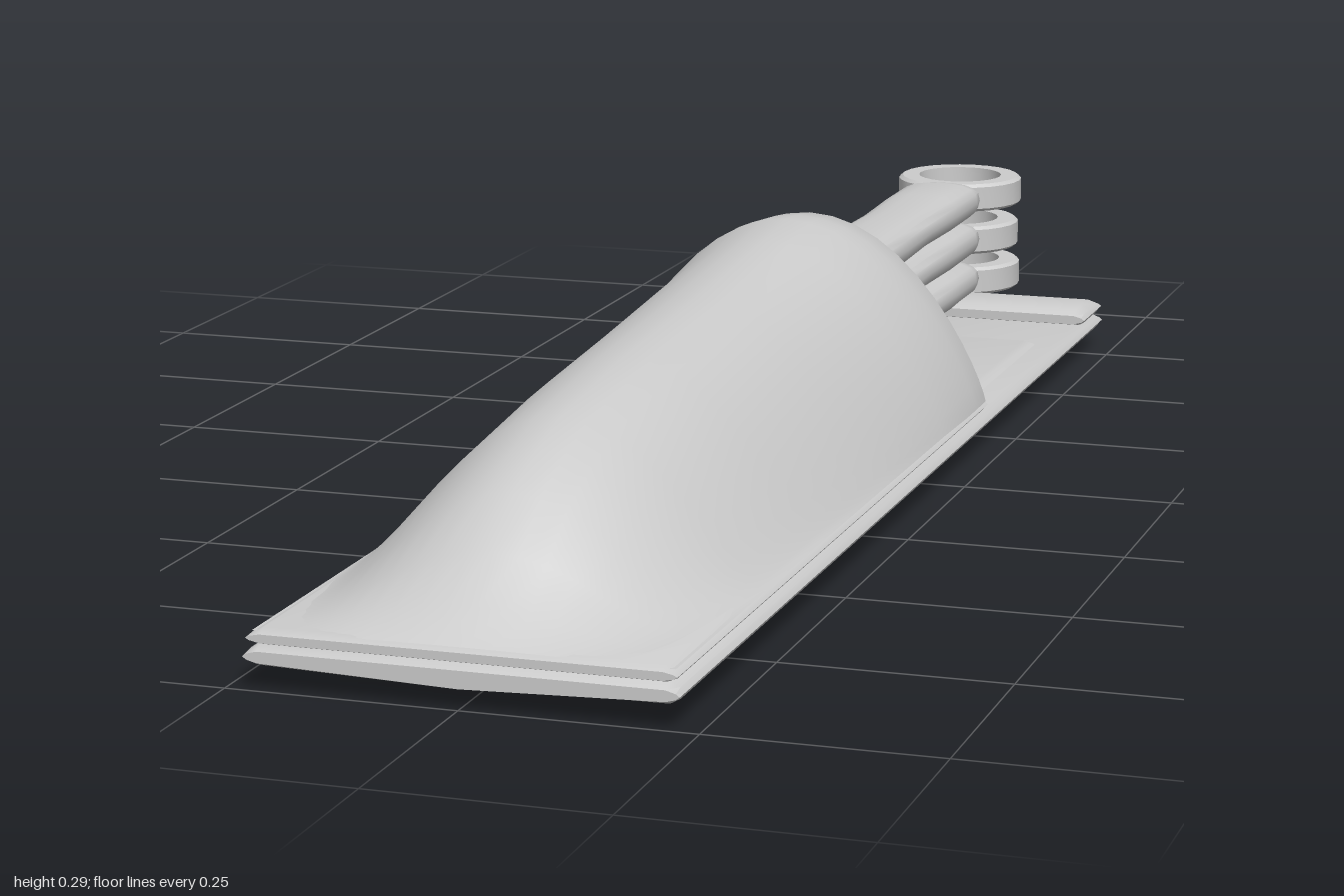
import * as THREE from 'three';
import { toCreasedNormals } from 'three/addons/utils/BufferGeometryUtils.js';

const grey = new THREE.MeshStandardMaterial({ color: 0xcccccc });
const greyDouble = new THREE.MeshStandardMaterial({ color: 0xcccccc, side: THREE.DoubleSide });

// Skins rows of [x, y, z]; closed rows run counterclockwise seen from +z, rows go from front to back.
function loft(rows, closed, crease = 0.7) {
  const n = rows[0].length, pos = rows.flat(2), idx = [];
  for (let r = 0; r < rows.length - 1; r++) {
    for (let i = 0; i < (closed ? n : n - 1); i++) {
      const a = r * n + i, b = r * n + (i + 1) % n, c = a + n, d = b + n;
      idx.push(a, c, b, b, c, d);
    }
  }
  if (closed) {
    const last = (rows.length - 1) * n;
    for (let i = 1; i < n - 1; i++) idx.push(0, i, i + 1, last, last + i + 1, last + i);
  }
  const g = new THREE.BufferGeometry();
  g.setAttribute('position', new THREE.Float32BufferAttribute(pos, 3));
  g.setIndex(idx);
  return toCreasedNormals(g, crease);
}

function add(group, name, geometry, material = grey) {
  const mesh = new THREE.Mesh(geometry, material);
  mesh.name = name;
  group.add(mesh);
  return mesh;
}

// Flat cloth layer with soft side edges; keel(z) is the height of its underside centre line.
function clothLayer(zs, halfWidth, y0, y1, keel) {
  const ym = (y0 + y1) / 2, w = halfWidth;
  return loft(zs.map((z, k) => {
    const end = k === 0 || k === zs.length - 1;
    const a = end ? ym - (ym - y0) * 0.5 : y0, b = end ? ym + (y1 - ym) * 0.5 : y1;
    return [[0, keel ? keel(z) : a], [w - 0.015, a], [w - 0.004, (a + ym) / 2], [w, ym], [w - 0.004, (b + ym) / 2],
      [w - 0.015, b], [0, b], [-w + 0.015, b], [-w + 0.004, (b + ym) / 2], [-w, ym], [-w + 0.004, (a + ym) / 2],
      [-w + 0.015, a]].map(([x, y]) => [x, y, z]);
  }), true);
}

// Pouch shell: each station is [z, crown height, profile power, half width, foot height].
function pouch() {
  const stations = [
    [0.99, 0.066, 2, 0.223, 0.064], [0.95, 0.095, 2.1, 0.223, 0.064], [0.9, 0.14, 2.1, 0.223, 0.064],
    [0.84, 0.186, 1.9, 0.223, 0.064], [0.77, 0.213, 1.6, 0.223, 0.064], [0.7, 0.233, 1.4, 0.223, 0.064],
    [0.5, 0.254, 1.2, 0.223, 0.064], [0.25, 0.269, 1.05, 0.224, 0.064], [0, 0.286, 0.92, 0.225, 0.064],
    [-0.09, 0.297, 0.84, 0.227, 0.064], [-0.14, 0.293, 0.83, 0.227, 0.064], [-0.19, 0.287, 0.83, 0.226, 0.064],
    [-0.205, 0.278, 0.83, 0.221, 0.064],
    // turned-in hem and lining
    [-0.205, 0.258, 0.83, 0.205, 0.062], [-0.19, 0.25, 0.83, 0.2, 0.062], [0.1, 0.25, 0.9, 0.2, 0.062],
  ];
  const n = 24;
  return loft(stations.map(([z, top, p, w, foot]) => Array.from({ length: n + 1 }, (_, i) => {
    const t = Math.sin((1 - 2 * i / n) * Math.PI / 2);
    return [t * w, foot + (top - foot) * Math.pow(Math.max(0, 1 - t * t), p), z];
  })), false, 0.9);
}

// Rounded handle that flares where it goes into the pouch: [z, half width, half height].
function handle() {
  const stations = [
    [0.55, 0.03, 0.008], [0.4, 0.075, 0.014], [0.1, 0.085, 0.02], [-0.12, 0.1, 0.024], [-0.18, 0.095, 0.025],
    [-0.21, 0.075, 0.027], [-0.24, 0.056, 0.027], [-0.36, 0.052, 0.025], [-0.46, 0.053, 0.027], [-0.58, 0.051, 0.025],
    [-0.7, 0.054, 0.027], [-0.8, 0.055, 0.026], [-0.825, 0.052, 0.022], [-0.835, 0.045, 0.016],
  ];
  const n = 18, pow = (v) => Math.sign(v) * Math.pow(Math.abs(v), 0.75);
  return loft(stations.map(([z, w, h]) => Array.from({ length: n }, (_, i) => {
    const a = i / n * Math.PI * 2;
    return [w * pow(Math.cos(a)), h * pow(Math.sin(a)), z];
  })), true);
}

// Flat hanging ring with a square section
function ring() {
  const h = 0.019;
  const profile = [[0.057, -h], [0.08, -h], [0.085, -h + 0.004], [0.085, h - 0.004], [0.08, h], [0.057, h], [0.057, -h]];
  return toCreasedNormals(new THREE.LatheGeometry(profile.map(([x, y]) => new THREE.Vector2(x, y)), 24), 0.6);
}

export function createModel() {
  const model = new THREE.Group();
  model.name = 'cutleryPouch';

  // Backing cloth, sagging along its centre towards the back
  const keel = (z) => 0.026 - 0.022 * Math.min(1, (1 - z) / 1.75);
  add(model, 'backing', clothLayer([1, 0.985, 0.4, -0.2, -0.795, -0.81], 0.23, 0.027, 0.051, keel));
  add(model, 'pouchHem', clothLayer([0.998, 0.985, 0.4, -0.185, -0.2], 0.227, 0.049, 0.067));
  add(model, 'foldedEnd', clothLayer([-0.71, -0.725, -0.76, -0.795, -0.812], 0.228, 0.046, 0.069));
  add(model, 'innerPanel', clothLayer([0.1, -0.2, -0.565, -0.572], 0.195, 0.048, 0.058));
  add(model, 'pouch', pouch(), greyDouble);

  // Three stacked utensils, each with a ring at its end
  [[0.083, 0.075, -0.91], [0.138, 0.134, -0.9], [0.192, 0.191, -0.915]].forEach(([y, ringY, ringZ]) => {
    const utensil = new THREE.Group();
    utensil.name = 'utensil';
    add(utensil, 'handle', handle()).position.y = y;
    add(utensil, 'ring', ring()).position.set(0, ringY, ringZ);
    model.add(utensil);
  });
  return model;
}
